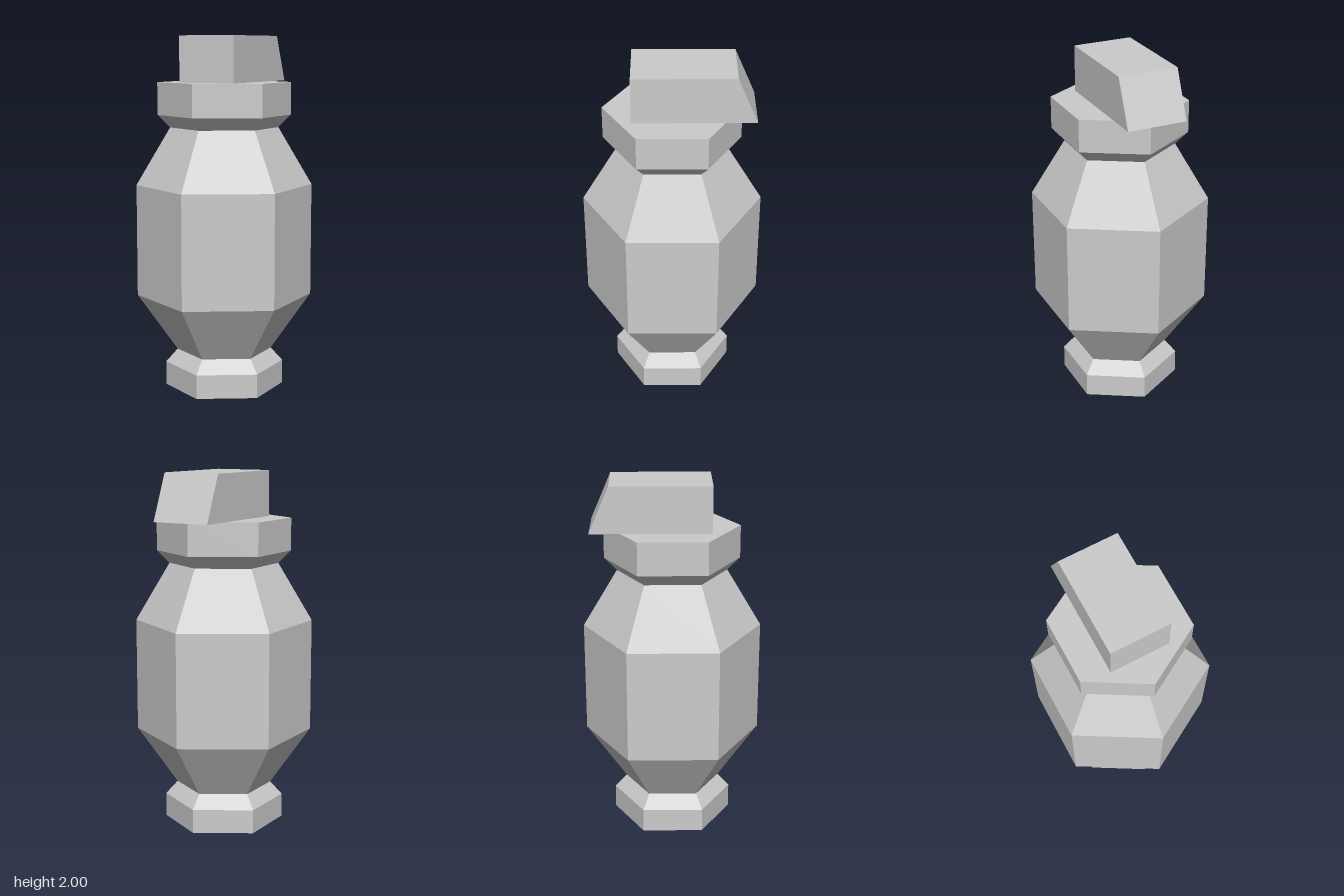
import * as THREE from 'three';

const material = new THREE.MeshStandardMaterial({ color: 0xcccccc, flatShading: true });

// Six-sided solid turned from [radius, height] pairs, corners facing front and back
function hexTurned(name, profile) {
  const points = profile.map(([r, y]) => new THREE.Vector2(r, y));
  const mesh = new THREE.Mesh(new THREE.LatheGeometry(points, 6), material);
  mesh.name = name;
  return mesh;
}

export function createModel() {
  const group = new THREE.Group();
  group.name = 'hexagonalBottle';

  // Foot with a sloped upper edge
  group.add(hexTurned('foot', [[0, 0], [0.337, 0], [0.337, 0.135], [0.27, 0.21]]));

  // Faceted body tapering at both ends
  group.add(hexTurned('body', [[0.27, 0.21], [0.497, 0.53], [0.497, 1.165], [0.305, 1.49]]));

  // Collar flaring out from the neck, closed on top
  group.add(hexTurned('collar', [[0.305, 1.49], [0.375, 1.56], [0.375, 1.743], [0, 1.743]]));

  // Block spout with a slanted rear face, side outline drawn as (-z, y)
  const outline = new THREE.Shape([
    new THREE.Vector2(-0.215, 1.743),
    new THREE.Vector2(0.447, 1.743),
    new THREE.Vector2(0.337, 2),
    new THREE.Vector2(-0.215, 2),
  ]);
  const width = 0.334;
  const spoutGeometry = new THREE.ExtrudeGeometry(outline, { depth: width, bevelEnabled: false });
  spoutGeometry.translate(0, 0, -width / 2).rotateY(Math.PI / 2);
  const spout = new THREE.Mesh(spoutGeometry, material);
  spout.name = 'spout';
  group.add(spout);

  return group;
}
